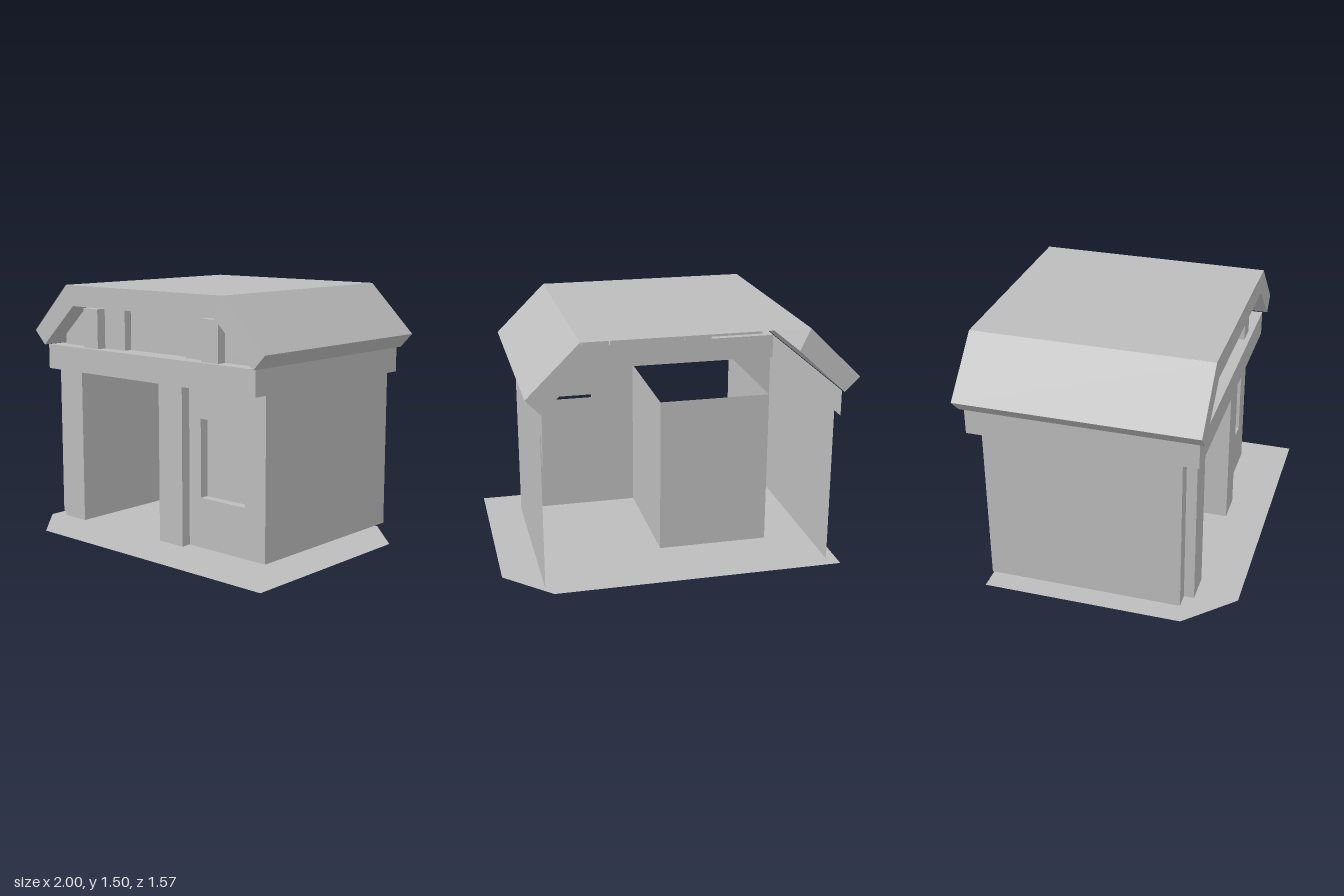
import * as THREE from 'three';

export function createModel() {
  const model = new THREE.Group();
  model.name = 'smallBuilding';
  const grey = new THREE.MeshStandardMaterial({ color: 0xbcbcbc, side: THREE.DoubleSide });
  grey.name = 'plainGrey';

  const shapeOf = (pts) => new THREE.Shape(pts.map(([a, b]) => new THREE.Vector2(a, b)));
  const rect = (a0, b0, a1, b1) => [[a0, b0], [a1, b0], [a1, b1], [a0, b1]];

  function add(name, geometry) {
    const mesh = new THREE.Mesh(geometry, grey);
    mesh.name = name;
    model.add(mesh);
  }
  // Box from its limits
  function box(name, x0, x1, y0, y1, z0, z1) {
    add(name, new THREE.BoxGeometry(x1 - x0, y1 - y0, z1 - z0)
      .translate((x0 + x1) / 2, (y0 + y1) / 2, (z0 + z1) / 2));
  }
  // Thin sheet facing the front, points are (x, y)
  function frontSheet(name, pts, z, hole) {
    const s = shapeOf(pts);
    if (hole) s.holes.push(shapeOf(hole));
    add(name, new THREE.ShapeGeometry(s).translate(0, 0, z));
  }
  // Thin sheet facing sideways, points are (z, y)
  function sideSheet(name, pts, x) {
    add(name, new THREE.ShapeGeometry(shapeOf(pts)).rotateY(-Math.PI / 2).translate(x, 0, 0));
  }
  // Thin level sheet, points are (x, z)
  function levelSheet(name, pts, y) {
    const flipped = pts.map(([x, z]) => [x, -z]);
    add(name, new THREE.ShapeGeometry(shapeOf(flipped)).rotateX(-Math.PI / 2).translate(0, y, 0));
  }

  const floorY = 0.035, wallTop = 0.975, beamTop = 1.125;
  const left = -0.91, right = 0.78, wallZ = 0.485, columnZ = 0.545, roomZ = -0.3;
  const middle = (left + right) / 2;

  // Ground sheet with two cut corners
  levelSheet('ground', [[-1, -0.67], [0.73, -0.67], [1, -0.4], [1, 0.785], [-0.73, 0.785], [-1, 0.51]], 0);

  // Side walls with projecting upper ends
  const sideProfile = [
    [wallZ, floorY], [wallZ, wallTop], [0.575, wallTop], [0.575, beamTop],
    [-0.755, beamTop], [-0.755, wallTop], [-0.66, wallTop], [-0.66, floorY],
  ];
  sideSheet('leftSideWall', sideProfile, left);
  sideSheet('rightSideWall', sideProfile, right);

  // Front wall with a recessed window
  const [wx0, wx1, wy0, wy1, paneZ] = [0.3, 0.635, 0.33, 0.79, 0.43];
  frontSheet('frontWall', rect(0.21, floorY, right, wallTop), wallZ, rect(wx0, wy0, wx1, wy1));
  frontSheet('windowPane', rect(wx0, wy0, wx1, wy1), paneZ);
  for (const x of [wx0, wx1]) sideSheet('windowReveal', rect(paneZ, wy0, wallZ, wy1), x);
  levelSheet('windowSill', rect(wx0, paneZ, wx1, wallZ), wy0);
  frontSheet('frontWallEdge', rect(left, floorY, -0.82, wallTop), wallZ);

  // Columns and the open room between them
  box('leftColumn', -0.82, -0.64, floorY, wallTop, wallZ, columnZ);
  box('rightColumn', 0.025, 0.21, floorY, wallTop, wallZ, columnZ);
  for (const x of [-0.64, 0.025]) sideSheet('roomSideWall', rect(roomZ, floorY, wallZ, wallTop), x);
  frontSheet('roomBackWall', rect(-0.64, floorY, 0.025, wallTop), roomZ);

  // Beam over the entrance
  box('frontBeam', left, right, wallTop, beamTop, 0.44, 0.575);

  // Stepped gable under the roof, mirrored about the middle
  frontSheet('gablePanel', rect(-0.31, beamTop, 0.18, 1.365), 0.44);
  for (const s of [-1, 1]) {
    const mx = (d) => middle + s * d;
    const span = (a, b) => [Math.min(mx(a), mx(b)), Math.max(mx(a), mx(b))];
    box('gablePost', ...span(0.425, 0.55), beamTop, 1.365, wallZ, columnZ);
    box('gableStep', ...span(0.25, 0.425), beamTop, 1.365, 0.44, wallZ);
    frontSheet('gableSide', [
      [mx(0.425), beamTop], [mx(0.785), beamTop], [mx(0.785), 1.187],
      [mx(0.575), 1.38], [mx(0.55), 1.38], [mx(0.55), 1.365], [mx(0.425), 1.365],
    ], wallZ);
  }

  // Roof: two sloped slabs, a flat top sheet and a front fascia
  const z0 = -0.785, z1 = 0.605;
  const slopes = {
    leftRoofSlope: [[-1, 1.21], [-0.7, 1.505], [-0.64, 1.38], [-0.915, beamTop]],
    rightRoofSlope: [[0.87, 1.21], [0.57, 1.505], [0.51, 1.38], [0.79, beamTop]],
  };
  for (const [name, pts] of Object.entries(slopes)) {
    add(name, new THREE.ExtrudeGeometry(shapeOf(pts), { depth: z1 - z0, bevelEnabled: false }).translate(0, 0, z0));
  }
  levelSheet('roofTop', rect(-0.7, z0, 0.57, z1), 1.505);
  frontSheet('roofFascia', [[-0.7, 1.505], [0.57, 1.505], [0.51, 1.38], [-0.64, 1.38]], z1);

  return model;
}
